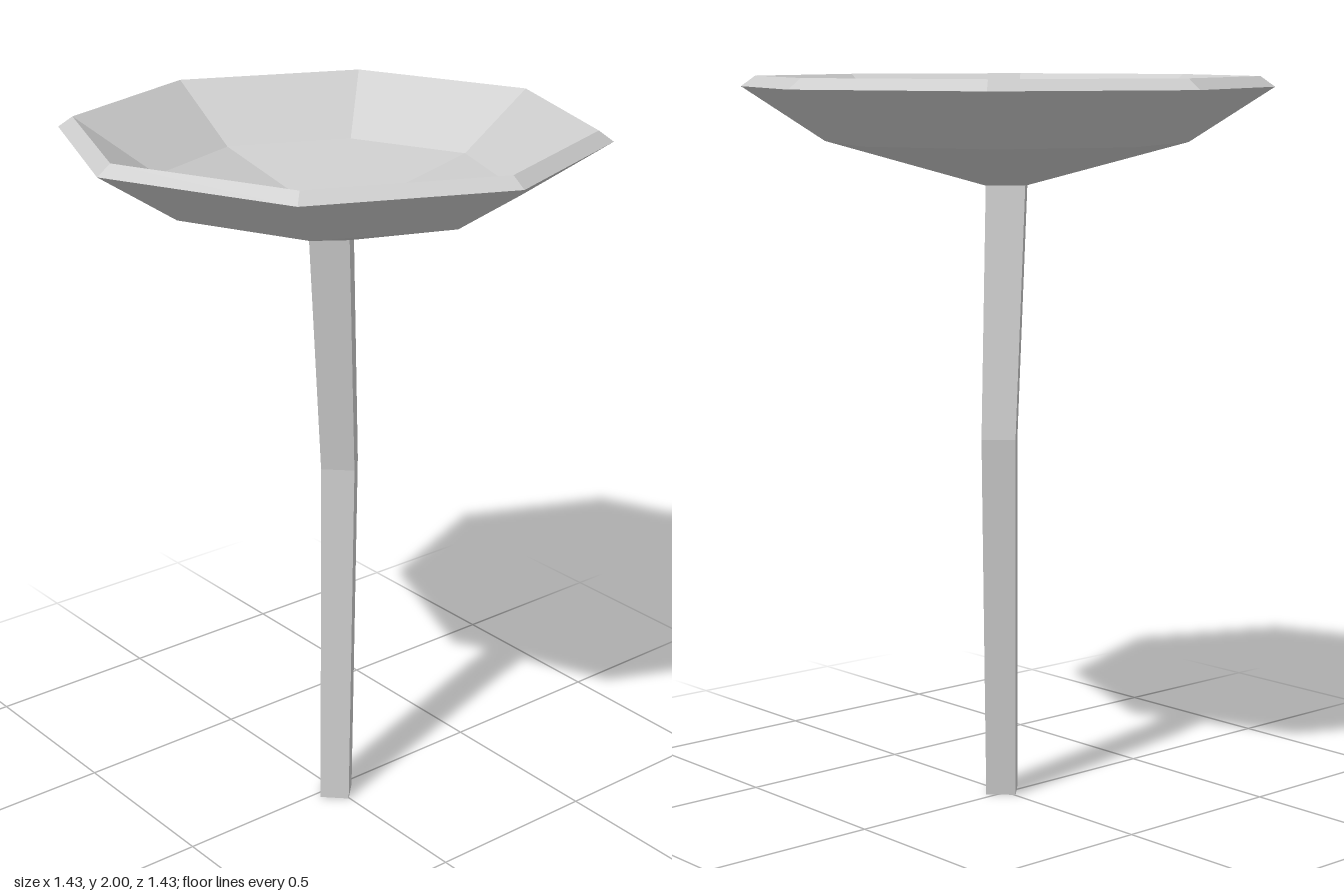
import * as THREE from 'three';

// Ring of n corners around (cx, cz); slopeX and slopeZ tilt it
function ring(n, r, y, cx = 0, cz = 0, slopeX = 0, slopeZ = 0) {
  return Array.from({ length: n }, (_, k) => {
    const a = (k / n) * Math.PI * 2;
    const x = r * Math.cos(a), z = r * Math.sin(a);
    return new THREE.Vector3(cx + x, y + slopeX * x + slopeZ * z, cz + z);
  });
}

// Band of quads between two rings with equal corner counts
function band(lower, upper) {
  return lower.map((p, k) => {
    const j = (k + 1) % lower.length;
    return [p, upper[k], upper[j], lower[j]];
  });
}

// Faceted mesh: every polygon is fanned and carries one shared normal
function facetMesh(name, polygons, material) {
  const pos = [], nor = [];
  for (const poly of polygons) {
    const normal = new THREE.Vector3();
    poly.forEach((p, i) => normal.add(p.clone().cross(poly[(i + 1) % poly.length])));
    normal.normalize();
    for (let i = 1; i < poly.length - 1; i++) {
      for (const p of [poly[0], poly[i], poly[i + 1]]) {
        pos.push(p.x, p.y, p.z);
        nor.push(normal.x, normal.y, normal.z);
      }
    }
  }
  const geo = new THREE.BufferGeometry();
  geo.setAttribute('position', new THREE.Float32BufferAttribute(pos, 3));
  geo.setAttribute('normal', new THREE.Float32BufferAttribute(nor, 3));
  const mesh = new THREE.Mesh(geo, material);
  mesh.name = name;
  return mesh;
}

export function createModel() {
  const group = new THREE.Group();
  const material = new THREE.MeshStandardMaterial({ color: 0xcccccc });

  // Bent four-sided stem
  const foot = ring(4, 0.058, 0, 0.021, 0.003);
  const bend = ring(4, 0.065, 1.01, -0.026, -0.046);
  const neck = ring(4, 0.075, 1.69, 0.005, 0.007);
  group.add(facetMesh('stem', [foot, ...band(foot, bend), ...band(bend, neck)], material));

  // Slightly tilted eight-sided bowl with a bevelled rim
  const tilted = (r, y) => ring(8, r, y, 0, 0, 0.025, 0.022);
  const outerRing = tilted(0.49, 1.807);
  const outerRim = tilted(0.717, 1.953);
  const innerRim = tilted(0.678, 1.981);
  const innerRing = tilted(0.46, 1.832);
  const centre = new THREE.Vector3(0.005, 1.725, 0.003);

  const faces = [
    ...band(outerRing, outerRim),
    ...band(outerRim, innerRim),
    ...band(innerRim, innerRing),
  ];
  // Underside and floor, one facet per quarter
  for (let q = 0; q < 4; q++) {
    const a = q * 2, b = a + 1, c = (a + 2) % 8;
    faces.push([outerRing[b], outerRing[c], neck[(q + 1) % 4], neck[q], outerRing[a]]);
    faces.push([innerRing[b], innerRing[a], centre, innerRing[c]]);
  }
  group.add(facetMesh('bowl', faces, material));

  return group;
}
